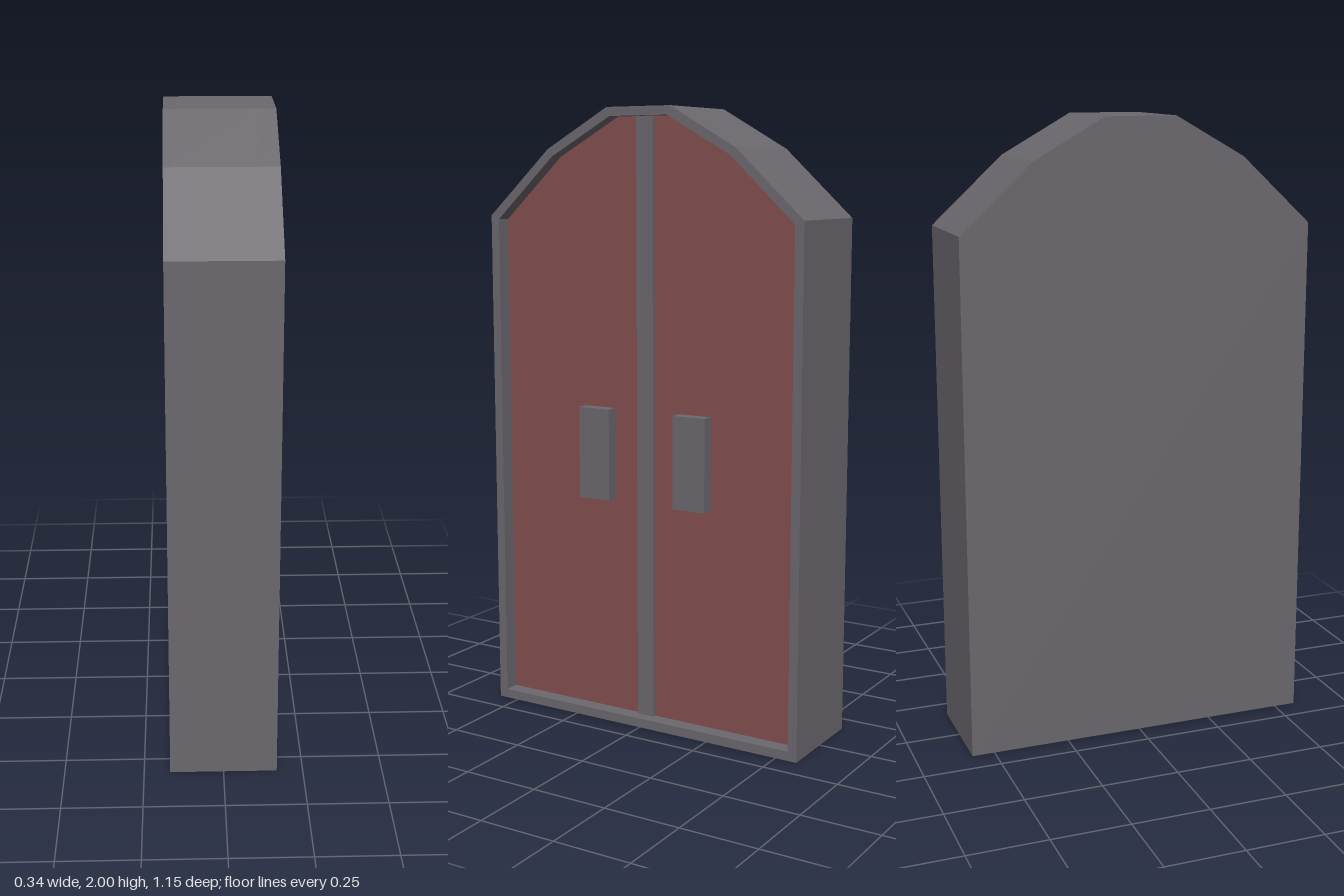
import * as THREE from 'three';

const HALF_DEPTH = 0.168; // half thickness along x
const RECESS = 0.05;      // how far the doors sit behind the rim
const DOOR_X = HALF_DEPTH - RECESS;

// Right half of each arch outline, bottom to top
const OUTER = [[0.573, 0], [0.573, 1.66], [0.342, 1.873], [0.115, 2]];
const INNER = [[0.543, 0.03], [0.543, 1.648], [0.325, 1.85], [0.104, 1.972]];

const toVectors = (points) => points.map(([a, b]) => new THREE.Vector2(a, b));
const mirrored = (half) =>
  toVectors([...half, ...half.slice().reverse().map(([a, b]) => [-a, b])]);

// Extrude a shape drawn in the side plane so that it spans x0 to x1
function extrudeAlongX(shape, x0, x1) {
  const geometry = new THREE.ExtrudeGeometry(shape, { depth: x1 - x0, bevelEnabled: false });
  return geometry.rotateY(Math.PI / 2).translate(x0, 0, 0);
}

export function createModel() {
  const stone = new THREE.MeshStandardMaterial({ color: 0x6b686e });
  stone.name = 'greyFrame';
  const wood = new THREE.MeshStandardMaterial({ color: 0x824e4e });
  wood.name = 'redDoor';

  const model = new THREE.Group();
  model.name = 'archedDoubleDoor';
  const add = (name, geometry, material) => {
    const mesh = new THREE.Mesh(geometry, material);
    mesh.name = name;
    model.add(mesh);
    return mesh;
  };

  // Solid arched block behind the doors
  add('doorBlock', extrudeAlongX(new THREE.Shape(mirrored(OUTER)), -HALF_DEPTH, DOOR_X - 0.005), stone);

  // Raised rim around the opening
  const rim = new THREE.Shape(mirrored(OUTER));
  rim.holes.push(new THREE.Path(mirrored(INNER)));
  add('rim', extrudeAlongX(rim, DOOR_X - 0.005, HALF_DEPTH), stone);

  // Two door leaves with their handle plates
  for (const side of [-1, 1]) {
    const label = side < 0 ? 'front' : 'back';
    const outline = [[0, 0.03], ...INNER, [0, 1.972]].map(([a, b]) => [a * side, b]);
    add(label + 'DoorLeaf', extrudeAlongX(new THREE.Shape(toVectors(outline)), DOOR_X - 0.005, DOOR_X), wood);

    const handle = add(label + 'Handle', new THREE.BoxGeometry(0.04, 0.3, 0.115), stone);
    handle.position.set(DOOR_X + 0.02, 0.896, -side * 0.178);
  }

  // Central bar between the leaves
  const bar = add('centreBar', new THREE.BoxGeometry(0.012, 1.942, 0.06), stone);
  bar.position.set(DOOR_X + 0.006, 1.001, 0);

  return model;
}
